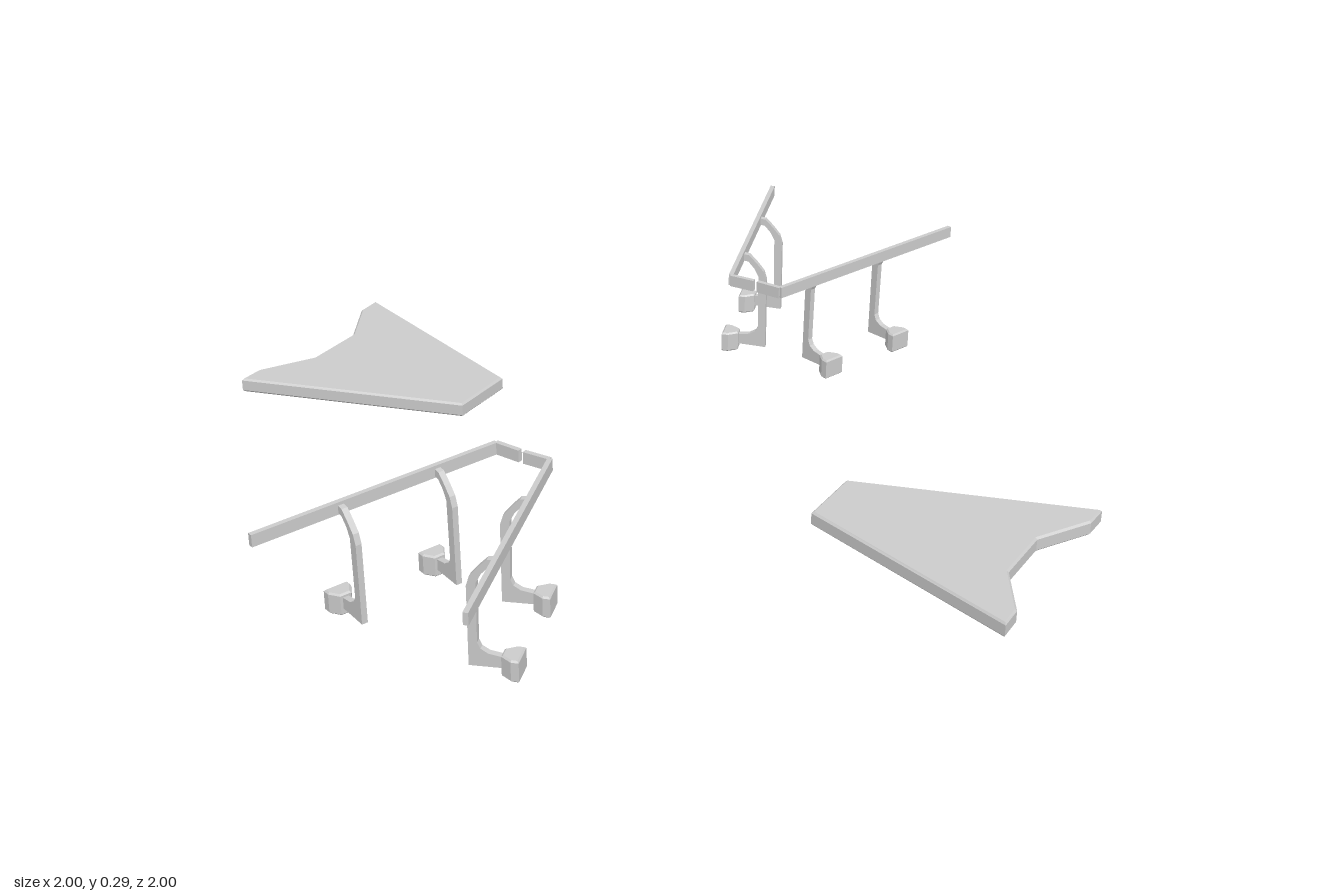
import * as THREE from 'three';

const grey = new THREE.MeshStandardMaterial({ color: 0xcccccc, flatShading: true });

function mesh(name, geometry) {
  const m = new THREE.Mesh(geometry, grey);
  m.name = name;
  return m;
}

const shapeOf = (pts) => new THREE.Shape(pts.map(([x, y]) => new THREE.Vector2(x, y)));

// Plan outline (x, z) extruded between two heights
function plate(name, pts, y0, y1, bevel = 0) {
  const g = new THREE.ExtrudeGeometry(shapeOf(pts), {
    depth: y1 - y0 - 2 * bevel, bevelEnabled: bevel > 0,
    bevelSize: bevel, bevelThickness: bevel, bevelOffset: -bevel, bevelSegments: 1,
  });
  g.rotateX(Math.PI / 2);
  g.translate(0, y1 - bevel, 0);
  return mesh(name, g);
}

// Straight thin bar between two plan points
function bar(name, [ax, az], [bx, bz]) {
  const g = new THREE.BoxGeometry(Math.hypot(bx - ax, bz - az), 0.03, 0.012);
  const m = mesh(name, g);
  m.position.set((ax + bx) / 2, 0.28, (az + bz) / 2);
  m.rotation.y = Math.atan2(az - bz, bx - ax);
  return m;
}

// Bracket: local +x points to the inner side of the rail
function bracket([x, z], [nx, nz]) {
  const group = new THREE.Group();
  group.name = 'railBracket';
  // Foot arm, upright and bent top as one side profile
  const profile = shapeOf([
    [-0.012, 0.018], [0.07, 0.014], [0.068, 0.215], [0.06, 0.24], [0.042, 0.262],
    [0.02, 0.285], [0, 0.288], [0, 0.27], [0.018, 0.266], [0.034, 0.248],
    [0.046, 0.225], [0.049, 0.075], [0.042, 0.06], [0.025, 0.05], [-0.012, 0.045],
  ]);
  const post = new THREE.ExtrudeGeometry(profile, { depth: 0.015, bevelEnabled: false });
  post.translate(0, 0, -0.0075);
  group.add(mesh('bracketPost', post));
  // Flared mounting block on the outer side
  group.add(plate('mountingBlock', [
    [-0.048, -0.03], [-0.03, -0.03], [-0.005, -0.014],
    [-0.005, 0.014], [-0.03, 0.03], [-0.048, 0.03],
  ], 0, 0.055, 0.004));
  group.position.set(x, 0, z);
  group.rotation.y = Math.atan2(-nz, nx);
  return group;
}

// V-shaped handrail; the second arm mirrors the first across the diagonal
function handrail(name) {
  const group = new THREE.Group();
  group.name = name;
  const flip = ([x, z]) => [-z, -x];
  const same = (p) => p;
  const end = [0.602, -0.997], corner = [0.324, -0.428], middle = [0.374, -0.382];
  const inward = [0.9, 0.44];
  for (const side of [same, flip]) {
    group.add(bar('rail', side(end), side(corner)));
    group.add(bar('cornerRail', side(corner), side(middle)));
    for (const p of [[0.506, -0.8], [0.396, -0.575]]) {
      group.add(bracket(side(p), side(inward)));
    }
  }
  return group;
}

const slabOutline = [
  [0.295, 0.42], [0.42, 0.295], [0.962, 0.565], [0.915, 0.61],
  [0.765, 0.65], [0.65, 0.765], [0.61, 0.915], [0.565, 0.962],
];

export function createModel() {
  const model = new THREE.Group();
  model.name = 'slabsAndHandrails';
  // Each half repeats after a half turn
  for (const [i, label] of ['front', 'back'].entries()) {
    const half = new THREE.Group();
    half.name = label + 'Half';
    half.add(plate('floorSlab', slabOutline, 0.03, 0.068, 0.005), handrail('handrail'));
    half.rotation.y = i * Math.PI;
    model.add(half);
  }
  return model;
}
